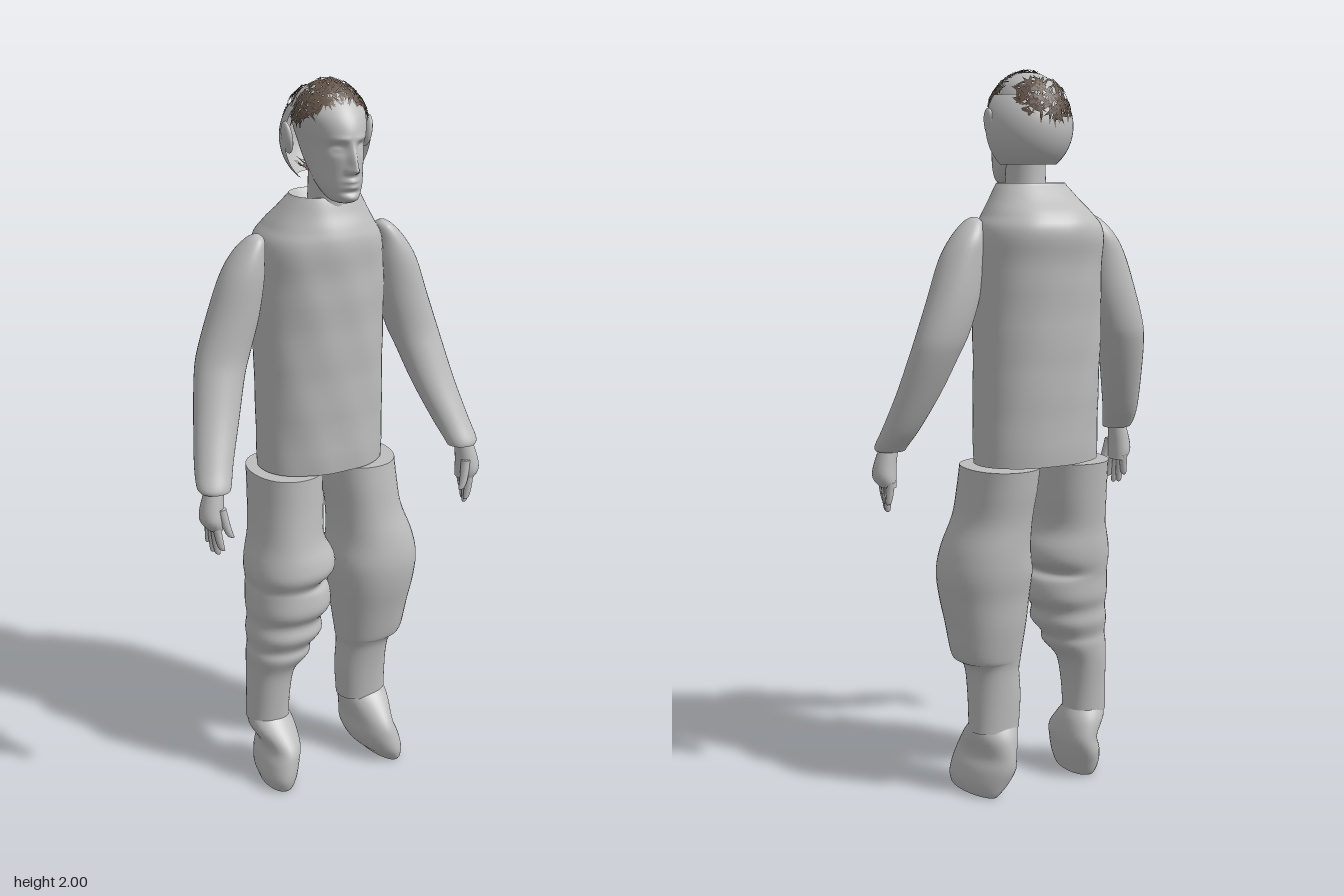
import * as THREE from 'three';

const grey = new THREE.MeshStandardMaterial({ color: 0xbebebe, side: THREE.DoubleSide });
grey.name = 'plain grey';
const brown = new THREE.MeshStandardMaterial({ color: 0x65554a, side: THREE.DoubleSide });
brown.name = 'hair brown';

const catmull = (a, b, c, d, t) =>
  0.5 * (2 * b + (c - a) * t + (2 * a - 5 * b + 4 * c - d) * t * t + (3 * b - a - 3 * c + d) * t * t * t);

// Closed loft through level ellipses [y, x0, x1, z0, z1], listed upwards
function loft(rows, { n = 32, steps = 4, power = 1, skew = 0, deform } = {}) {
  const rings = [];
  for (let i = 0; i < rows.length - 1; i++) {
    const q = [Math.max(i - 1, 0), i, i + 1, Math.min(i + 2, rows.length - 1)].map(k => rows[k]);
    for (let s = 0; s < steps; s++) {
      rings.push(rows[i].map((_, k) => catmull(q[0][k], q[1][k], q[2][k], q[3][k], s / steps)));
    }
  }
  rings.push(rows[rows.length - 1]);
  const pos = [], idx = [], v = new THREE.Vector3();
  const addRing = ([y, x0, x1, z0, z1]) => {
    for (let j = 0; j < n; j++) {
      const a = j / n * Math.PI * 2, c = Math.cos(a), s = Math.sin(a);
      const dz = (z1 - z0) / 2 * Math.sign(s) * Math.abs(s) ** power;
      v.set((x0 + x1) / 2 + (x1 - x0) / 2 * Math.sign(c) * Math.abs(c) ** power + skew * dz, y, (z0 + z1) / 2 + dz);
      if (deform) deform(v);
      pos.push(v.x, v.y, v.z);
    }
  };
  rings.forEach(addRing);
  for (let i = 0; i < rings.length - 1; i++) {
    for (let j = 0; j < n; j++) {
      const a = i * n + j, b = i * n + (j + 1) % n;
      idx.push(a, a + n, b, b, a + n, b + n);
    }
  }
  // Caps have their own vertices so the rims stay crisp
  [rings[0], rings[rings.length - 1]].forEach((r, top) => {
    const base = pos.length / 3;
    addRing(r);
    for (let j = 1; j < n - 1; j++) {
      idx.push(base, base + (top ? j + 1 : j), base + (top ? j : j + 1));
    }
  });
  const g = new THREE.BufferGeometry();
  g.setAttribute('position', new THREE.Float32BufferAttribute(pos, 3));
  g.setIndex(idx);
  g.computeVertexNormals();
  return g;
}

// Swaps a row set to the other side of the body
const mirror = rows => rows.map(([y, x0, x1, z0, z1]) => [y, -x1 - 0.005, -x0 - 0.005, z0, z1]);

const bump = (d, w) => Math.exp(-(d * d) / (w * w));

// Presses the features into the front of the head
function sculptFace(v) {
  if (v.z < 0.05) return;
  const x = v.x - 0.013, y = v.y, ax = Math.abs(x);
  const ridge = y > 1.785 ? Math.max(0, 1 - (y - 1.785) / 0.075) : bump(y - 1.785, 0.008);
  v.z += 0.03 * ridge * bump(x, 0.011)                              // nose
    + 0.008 * bump(ax - 0.013, 0.007) * bump(y - 1.785, 0.009)      // nostrils
    - 0.016 * bump(ax - 0.032, 0.017) * bump(y - 1.84, 0.014)       // sockets
    + 0.008 * bump(ax - 0.032, 0.011) * bump(y - 1.837, 0.007)      // eyelids
    + 0.005 * bump(ax - 0.03, 0.025) * bump(y - 1.862, 0.008)       // brows
    + 0.009 * bump(x, 0.02) * bump(y - 1.757, 0.006)                // upper lip
    + 0.008 * bump(x, 0.018) * bump(y - 1.742, 0.006)               // lower lip
    - 0.006 * bump(x, 0.025) * bump(y - 1.728, 0.006)               // chin crease
    + 0.004 * bump(x, 0.02) * bump(y - 1.713, 0.009);               // chin
}

// Gentle cloth dents
function rumple(v) {
  const d = 0.003 * Math.sin(v.y * 31 + v.x * 24) * Math.sin(v.x * 27 - v.y * 13);
  v.z += v.z > -0.03 ? d : -d;
}

// Short strands lying on the skull
function strands(count, accept, seed) {
  const rnd = () => (seed = (seed * 16807) % 2147483647) / 2147483647;
  const centre = new THREE.Vector3(0.013, 1.87, 0.005), radii = new THREE.Vector3(0.106, 0.124, 0.126);
  const onSkull = (d, k) => d.clone().normalize().multiply(radii).multiplyScalar(k).add(centre);
  const pts = [];
  for (let made = 0, tries = 0; made < count && tries < 40000; tries++) {
    const d = new THREE.Vector3(rnd() * 2 - 1, rnd() * 2 - 1, rnd() * 2 - 1);
    if (d.length() > 1 || !accept(onSkull(d, 1))) continue;
    d.normalize();
    const t = new THREE.Vector3(rnd() - 0.5, rnd() - 0.5, rnd() - 0.5).cross(d).normalize();
    const side = t.clone().cross(d).multiplyScalar(0.035);
    const half = 0.15 + 0.1 * rnd(), k = 1 + 0.03 * rnd();
    const back = d.clone().addScaledVector(t, -half), tip = d.clone().addScaledVector(t, half);
    const l = onSkull(d.clone().add(side), k + 0.01), r = onSkull(d.clone().sub(side), k + 0.01);
    pts.push(onSkull(back, k), l, r, l, onSkull(tip, k), r);
    made++;
  }
  const g = new THREE.BufferGeometry().setFromPoints(pts);
  g.computeVertexNormals();
  return g;
}

export function createModel() {
  const model = new THREE.Group();
  model.name = 'figure';
  const add = (name, geometry, material = grey, parent = model) => {
    const m = new THREE.Mesh(geometry, material);
    m.name = name;
    parent.add(m);
    return m;
  };

  // Jacket with a folded-in collar
  add('jacket', loft([
    [0.95, -0.17, 0.19, -0.15, 0.1], [1.2, -0.172, 0.19, -0.165, 0.105], [1.45, -0.17, 0.19, -0.18, 0.11],
    [1.57, -0.165, 0.185, -0.194, 0.11], [1.62, -0.138, 0.16, -0.175, 0.102], [1.66, -0.11, 0.135, -0.13, 0.085],
    [1.695, -0.083, 0.113, -0.092, 0.07], [1.7, -0.076, 0.106, -0.085, 0.063], [1.67, -0.065, 0.095, -0.07, 0.055],
  ], { n: 56, steps: 6, power: 0.9, deform: rumple }));

  // Head, neck, rear shell and ears
  add('neck', loft([
    [1.65, -0.045, 0.07, -0.045, 0.075], [1.71, -0.04, 0.065, -0.04, 0.078], [1.78, -0.04, 0.065, -0.04, 0.09],
  ]));
  add('head', loft([
    [1.698, -0.008, 0.034, 0.075, 0.128], [1.708, -0.025, 0.051, 0.045, 0.146], [1.74, -0.042, 0.068, 0, 0.15],
    [1.79, -0.052, 0.078, -0.06, 0.152], [1.84, -0.06, 0.086, -0.095, 0.152], [1.88, -0.07, 0.096, -0.108, 0.15],
    [1.92, -0.074, 0.1, -0.102, 0.13], [1.96, -0.054, 0.08, -0.074, 0.092], [1.983, -0.025, 0.051, -0.038, 0.053],
    [1.99, -0.003, 0.03, -0.01, 0.02],
  ], { n: 96, steps: 10, deform: sculptFace }));
  const shell = add('headShell', new THREE.SphereGeometry(1, 32, 20, Math.PI, Math.PI, 0.9, 1.55));
  shell.scale.set(0.125, 0.13, 0.135);
  shell.position.set(0.015, 1.85, 0.015);
  for (const s of [-1, 1]) {
    const ear = add(s > 0 ? 'leftEar' : 'rightEar', new THREE.SphereGeometry(1, 16, 12));
    ear.scale.set(0.012, 0.042, 0.024);
    ear.position.set(0.015 + s * 0.115, 1.855, 0.008);
    ear.rotation.z = -s * 0.15;
  }

  // Hair in a front tuft, a rear band and a fringe at the nape
  add('frontHair', strands(270, p => p.z > 0.01 && p.y > 1.9 + Math.max(0, p.z - 0.05) * 0.7, 7), brown);
  add('backHair', strands(190, p => p.z < -0.055 && p.y > 1.87 && p.y < 1.97, 91), brown);
  add('napeHair', strands(22, p => p.z < -0.03 && p.y > 1.755 && p.y < 1.775, 33), brown);

  // Sleeves and hands
  const sleeve = [
    [0.985, 0.332, 0.414, 0.1, 0.174], [1, 0.326, 0.42, 0.088, 0.172], [1.05, 0.306, 0.411, 0.05, 0.147],
    [1.15, 0.266, 0.39, 0, 0.105], [1.25, 0.232, 0.37, -0.042, 0.074], [1.31, 0.208, 0.355, -0.058, 0.062],
    [1.4, 0.18, 0.324, -0.065, 0.06], [1.5, 0.165, 0.287, -0.062, 0.06], [1.56, 0.163, 0.25, -0.055, 0.052],
    [1.6, 0.164, 0.212, -0.03, 0.036], [1.614, 0.176, 0.19, -0.004, 0.01],
  ];
  const palm = [
    [0.885, 0.36, 0.402, 0.108, 0.176], [0.91, 0.358, 0.42, 0.106, 0.184],
    [0.945, 0.356, 0.418, 0.11, 0.178], [1, 0.35, 0.4, 0.115, 0.165],
  ];
  const digit = (tipX, tipY, tipZ, x, y, z, r) => [0, 0.06, 0.3, 0.65, 1].map((t, i) => {
    const w = r * [0.3, 0.65, 0.85, 0.95, 1][i];
    const cx = tipX + (x - tipX) * Math.sqrt(t), cz = tipZ + (z - tipZ) * t;
    return [tipY + (y - tipY) * t, cx - w, cx + w, cz - w, cz + w];
  });
  const digits = [digit(0.345, 0.865, 0.182, 0.37, 0.945, 0.168, 0.013)];
  [0.828, 0.812, 0.815, 0.838].forEach((tipY, i) =>
    digits.push(digit(0.368 + i * 0.008, tipY, 0.172 - i * 0.017, 0.385, 0.9, 0.167 - i * 0.017, 0.0115)));
  for (const [side, flip] of [['left', r => r], ['right', mirror]]) {
    add(side + 'Sleeve', loft(flip(sleeve)));
    const hand = new THREE.Group();
    hand.name = side + 'Hand';
    model.add(hand);
    add('palm', loft(flip(palm), { n: 20 }), grey, hand);
    digits.forEach((d, i) => add(i ? 'finger' : 'thumb', loft(flip(d), { n: 10, steps: 2 }), grey, hand));
  }

  // Left trouser leg, tucked in below the knee
  add('leftTrouser', loft([
    [0.19, 0.06, 0.205, -0.06, 0.06], [0.28, 0.055, 0.205, -0.065, 0.068], [0.36, 0.06, 0.208, -0.07, 0.08],
    [0.39, 0.055, 0.222, -0.075, 0.09], [0.41, 0.052, 0.247, -0.082, 0.1], [0.5, 0.04, 0.263, -0.1, 0.12],
    [0.58, 0.03, 0.277, -0.11, 0.138], [0.65, 0.025, 0.284, -0.123, 0.144], [0.72, 0.036, 0.27, -0.128, 0.135],
    [0.8, 0.036, 0.24, -0.13, 0.118], [0.88, 0.028, 0.23, -0.142, 0.108], [0.945, 0.024, 0.225, -0.15, 0.1],
  ], { n: 40, power: 0.92 }));

  // Right trouser leg, gathered in folds
  add('rightTrouser', loft([
    [0.19, -0.235, -0.112, -0.06, 0.06], [0.27, -0.232, -0.11, -0.066, 0.068], [0.35, -0.23, -0.095, -0.076, 0.078],
    [0.4, -0.232, -0.055, -0.082, 0.1], [0.43, -0.228, -0.048, -0.082, 0.098], [0.47, -0.232, -0.018, -0.095, 0.118],
    [0.51, -0.226, -0.018, -0.095, 0.112], [0.55, -0.23, 0.008, -0.108, 0.132], [0.6, -0.228, 0.004, -0.11, 0.128],
    [0.625, -0.225, -0.018, -0.112, 0.125], [0.66, -0.23, 0.018, -0.122, 0.142], [0.7, -0.225, 0.018, -0.126, 0.138],
    [0.76, -0.21, -0.008, -0.126, 0.122], [0.85, -0.203, -0.004, -0.138, 0.108], [0.945, -0.2, -0.002, -0.15, 0.1],
  ], { n: 40, power: 0.92 }));

  // Boots, toes turned slightly outwards
  const boots = {
    left: [[0.14, 0.205], [0.13, 0.212], [0.102, 0.218], [0.085, 0.21], [0.085, 0.196], [0.074, 0.204], [0.068, 0.202]],
    right: [[-0.212, -0.125], [-0.216, -0.12], [-0.224, -0.11], [-0.218, -0.1], [-0.207, -0.094], [-0.232, -0.1], [-0.232, -0.115]],
  };
  const bootY = [0, 0.012, 0.04, 0.08, 0.12, 0.17, 0.205];
  const bootZ = [[-0.05, 0.13], [-0.06, 0.138], [-0.072, 0.145], [-0.085, 0.142], [-0.085, 0.13], [-0.075, 0.09], [-0.057, 0.057]];
  for (const side in boots) {
    add(side + 'Boot', loft(boots[side].map((x, i) => [bootY[i], ...x, ...bootZ[i]]),
      { n: 36, skew: side === 'left' ? 0.15 : -0.08 }));
  }
  return model;
}
